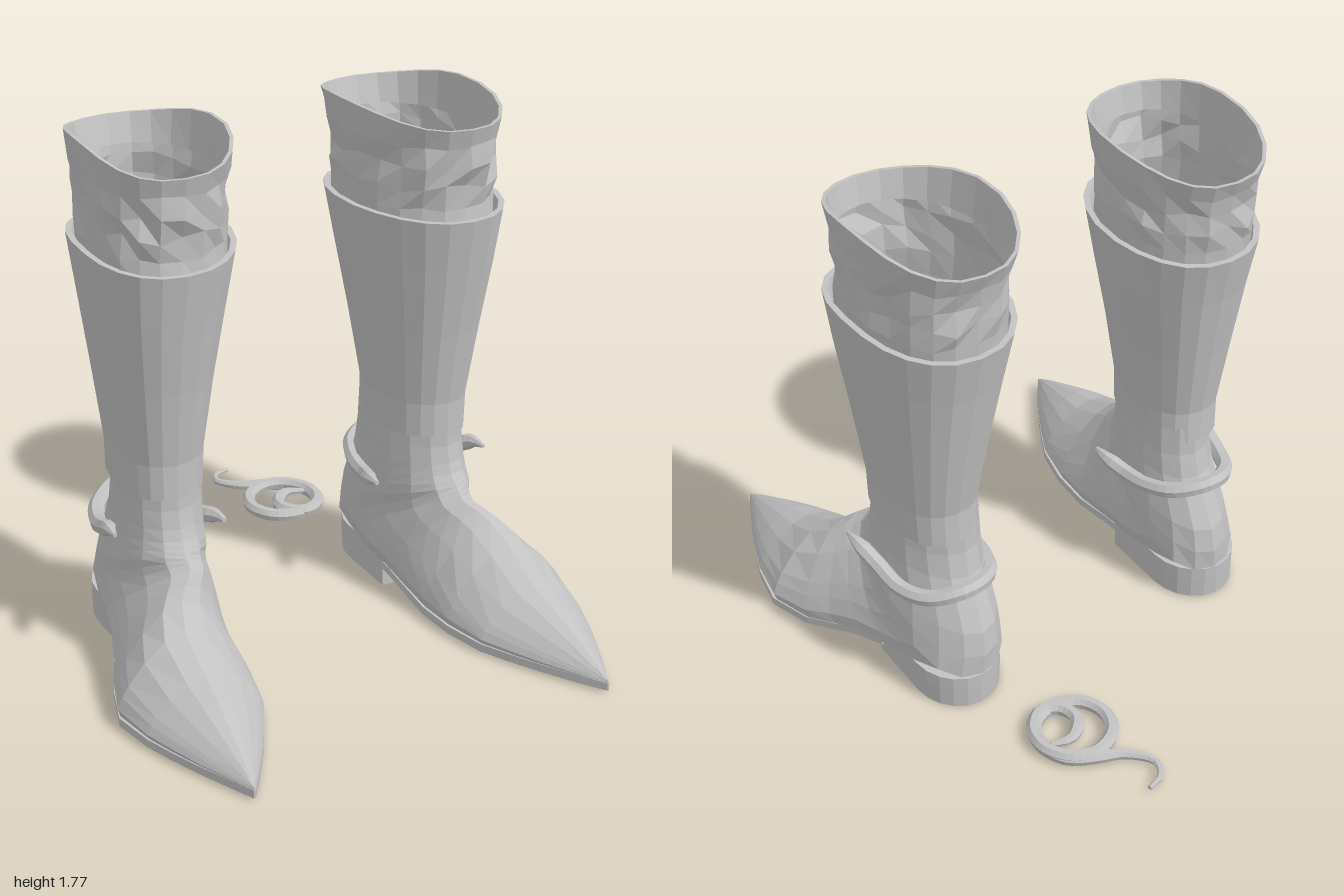
import * as THREE from 'three';

const leather = new THREE.MeshStandardMaterial({ color: 0xc2c2c2, side: THREE.DoubleSide });
leather.name = 'grey leather';

// Joins closed rings of [x, y, z] points into a faceted skin; s = -1 mirrors it in x.
function loft(name, rings, s = 1, capStart = false, capEnd = false) {
  const n = rings[0].length, pos = [], idx = [];
  const tri = (a, b, c) => (s > 0 ? idx.push(a, b, c) : idx.push(a, c, b));
  rings.forEach(r => r.forEach(p => pos.push(p[0] * s, p[1], p[2])));
  for (let i = 0; i < rings.length - 1; i++) {
    for (let j = 0; j < n; j++) {
      const a = i * n + j, b = i * n + (j + 1) % n;
      tri(a, b, b + n);
      tri(a, b + n, a + n);
    }
  }
  const cap = (ring, start, end) => {
    const c = pos.length / 3;
    const mid = [0, 1, 2].map(k => ring.reduce((t, p) => t + p[k], 0) / n);
    pos.push(mid[0] * s, mid[1], mid[2]);
    for (let j = 0; j < n; j++) {
      const a = start + j, b = start + (j + 1) % n;
      if (end) tri(c, a, b); else tri(c, b, a);
    }
  };
  if (capStart) cap(rings[0], 0, false);
  if (capEnd) cap(rings[rings.length - 1], (rings.length - 1) * n, true);
  const indexed = new THREE.BufferGeometry();
  indexed.setAttribute('position', new THREE.Float32BufferAttribute(pos, 3));
  indexed.setIndex(idx);
  const g = indexed.toNonIndexed();
  g.computeVertexNormals();
  const mesh = new THREE.Mesh(g, leather);
  mesh.name = name;
  return mesh;
}

// Horizontal squarish oval whose front half leans outward; tweak(t) returns [radius scale, y offset].
function oval(y, xin, xout, zf, zb, skew = 0.03, tweak = () => [1, 0], n = 22) {
  const soft = v => Math.sign(v) * Math.abs(v) ** 0.9;
  return Array.from({ length: n }, (_, j) => {
    const t = (j / n) * Math.PI * 2, [k, dy] = tweak(t);
    return [
      (xin + xout) / 2 + k * ((xout - xin) / 2 * soft(Math.sin(t)) + skew * Math.max(0, Math.cos(t))),
      y + dy,
      (zf + zb) / 2 + k * (zf - zb) / 2 * soft(Math.cos(t)),
    ];
  });
}

// Round cord along a curve, with a radius that varies along its length
function cord(name, points, radius, steps, s = 1) {
  const curve = new THREE.CatmullRomCurve3(points.map(p => new THREE.Vector3(...p)));
  const { normals, binormals } = curve.computeFrenetFrames(steps);
  const rings = [];
  for (let i = 0; i <= steps; i++) {
    const c = curve.getPointAt(i / steps), r = radius(i / steps);
    rings.push(Array.from({ length: 7 }, (_, j) => {
      const a = (j / 7) * Math.PI * 2;
      return c.clone().addScaledVector(normals[i], r * Math.cos(a))
        .addScaledVector(binormals[i], r * Math.sin(a)).toArray();
    }));
  }
  return loft(name, rings, s, true, true);
}

function seeded(seed) {
  return () => (seed = (seed * 16807) % 2147483647) / 2147483647 - 0.5;
}

// Foot section halves from sole to instep: flat-bottomed dome, morphing from an ellipse
const dome = [[0, 0], [0.55, 0], [0.96, 0], [1, 0.12], [0.93, 0.28], [0.84, 0.42], [0.6, 0.7], [0.3, 0.92], [0, 1]];
function footRing([zTop, yTop, zLow, yLow, xin, xout, f]) {
  const side = dome.map(([u, v], i) => {
    const a = (i / 8) * Math.PI;
    return [u * f + Math.sin(a) * (1 - f), v * f + (1 - Math.cos(a)) / 2 * (1 - f)];
  });
  const around = [...side, ...side.slice(1, 8).reverse().map(([u, v]) => [-u, v])];
  return around.map(([u, v]) => [
    (xin + xout) / 2 + u * (xout - xin) / 2 + 0.02 * (1 - f) * (2 * v - 1),
    yLow + v * (yTop - yLow),
    zLow + v * (zTop - zLow),
  ]);
}

function boot(name, s) {
  const g = new THREE.Group();
  g.name = name;

  // Shaft, with the rim turned inward
  const wave = t => [1, 0.015 * Math.sin(t) ** 2];
  g.add(loft('shaft', [
    oval(0.62, 0.337, 0.628, 0.2, -0.235, 0.02),
    oval(0.74, 0.333, 0.632, 0.2, -0.233, 0.02),
    oval(1.0, 0.29, 0.663, 0.24, -0.28, 0.03),
    oval(1.25, 0.243, 0.695, 0.285, -0.328, 0.04),
    oval(1.425, 0.212, 0.718, 0.318, -0.368, 0.04, wave),
    oval(1.425, 0.232, 0.698, 0.298, -0.348, 0.04, wave),
  ], s));

  // Crumpled cuff rising out of the shaft
  const rnd = seeded(77);
  const crumple = amount => () => [1 + rnd() * amount, rnd() * amount * 0.35];
  const peaks = t => [1, 0.05 * Math.abs(Math.sin(t)) ** 3];
  g.add(loft('cuff', [
    oval(1.36, 0.24, 0.685, 0.28, -0.335, 0.04),
    oval(1.46, 0.235, 0.69, 0.27, -0.345, 0.04, crumple(0.05)),
    oval(1.53, 0.235, 0.688, 0.275, -0.345, 0.04, crumple(0.1)),
    oval(1.6, 0.235, 0.688, 0.285, -0.35, 0.04, crumple(0.1)),
    oval(1.67, 0.228, 0.69, 0.29, -0.362, 0.04, crumple(0.05)),
    oval(1.73, 0.214, 0.702, 0.308, -0.392, 0.04, peaks),
    oval(1.73, 0.226, 0.69, 0.296, -0.38, 0.04, peaks),
    oval(1.64, 0.246, 0.675, 0.272, -0.345, 0.04),
  ], s));

  // Ankle, heel counter and foot in one sweep, the sections turning from level to upright.
  // Each: instep z, y; heel or sole z, y; inner x, outer x; flatness of the bottom
  g.add(loft('foot', [
    [0.197, 0.68, -0.23, 0.68, 0.34, 0.625, 0],
    [0.202, 0.58, -0.236, 0.57, 0.337, 0.628, 0],
    [0.215, 0.52, -0.257, 0.48, 0.335, 0.632, 0],
    [0.23, 0.485, -0.3, 0.39, 0.332, 0.638, 0],
    [0.245, 0.465, -0.342, 0.3, 0.328, 0.645, 0],
    [0.258, 0.45, -0.357, 0.21, 0.325, 0.655, 0.05],
    [0.27, 0.438, -0.353, 0.125, 0.328, 0.66, 0.2],
    [0.283, 0.427, -0.22, 0.115, 0.328, 0.67, 0.5],
    [0.298, 0.414, -0.07, 0.108, 0.325, 0.685, 0.75],
    [0.315, 0.4, 0.07, 0.1, 0.335, 0.71, 0.9],
    [0.335, 0.383, 0.19, 0.07, 0.35, 0.745, 1],
    [0.37, 0.35, 0.29, 0.04, 0.362, 0.79, 1],
    [0.45, 0.29, 0.44, 0.04, 0.37, 0.838, 1],
    [0.6, 0.21, 0.6, 0.04, 0.405, 0.81, 1],
    [0.7, 0.178, 0.7, 0.04, 0.455, 0.775, 1],
    [0.8, 0.14, 0.8, 0.04, 0.51, 0.735, 1],
    [0.92, 0.09, 0.92, 0.04, 0.584, 0.68, 1],
    [0.995, 0.05, 0.995, 0.04, 0.637, 0.643, 1],
  ].map(footRing), s, false, true));

  // Pointed sole, arched up to meet the heel: z, inner x, outer x, bottom y
  g.add(loft('sole', [
    [0.0, 0.345, 0.66, 0.08], [0.1, 0.345, 0.7, 0.07], [0.19, 0.352, 0.74, 0.045],
    [0.3, 0.362, 0.79, 0.015], [0.45, 0.37, 0.838, 0.015], [0.6, 0.405, 0.81, 0.015],
    [0.7, 0.455, 0.775, 0.015], [0.8, 0.51, 0.735, 0.015], [0.92, 0.584, 0.68, 0.015],
    [0.998, 0.637, 0.643, 0.015],
  ].map(([z, a, b, low]) => [[b, low, z], [b, low + 0.028, z], [a, low + 0.028, z], [a, low, z]]), s, true, true));

  // Heel block: straight front, rounded back
  const heelRing = (y, grow) => {
    const ring = [[0.345, y, 0.055], [0.635, y, 0.055]];
    for (let i = 0; i <= 10; i++) {
      const t = Math.PI * (0.5 + i / 10);
      ring.push([0.49 + (0.145 + grow) * Math.sin(t), y, -0.19 + (0.165 + grow) * Math.cos(t)]);
    }
    return ring;
  };
  g.add(loft('heel', [heelRing(0.01, 0), heelRing(0.09, 0.002), heelRing(0.135, 0.002)], s, true, true));

  // Spur strap curling round the back of the ankle
  g.add(cord('spurStrap', [
    [0.695, 0.505, 0.13], [0.69, 0.5, 0.07], [0.665, 0.455, -0.02], [0.65, 0.428, -0.12],
    [0.6, 0.435, -0.23], [0.49, 0.465, -0.293], [0.38, 0.445, -0.24], [0.33, 0.425, -0.13],
    [0.315, 0.42, -0.03], [0.292, 0.44, 0.05], [0.29, 0.445, 0.1],
  ], t => 0.028 * Math.min(1, 0.25 + 9 * t, 0.3 + 9 * (1 - t)), 36, s));
  return g;
}

export function createModel() {
  const model = new THREE.Group();
  model.name = 'ridingBoots';
  model.add(boot('leftBoot', 1), boot('rightBoot', -1));

  // Coiled cord lying on the ground behind the left boot
  model.add(cord('coiledCord', [
    [0.42, 0.036, -0.67], [0.35, 0.038, -0.685], [0.285, 0.038, -0.62], [0.3, 0.037, -0.55],
    [0.36, 0.036, -0.525], [0.43, 0.036, -0.58], [0.445, 0.036, -0.67], [0.39, 0.036, -0.755],
    [0.31, 0.036, -0.778], [0.22, 0.035, -0.73], [0.19, 0.034, -0.64], [0.23, 0.033, -0.555],
    [0.32, 0.032, -0.526], [0.41, 0.031, -0.56], [0.445, 0.031, -0.64], [0.41, 0.03, -0.74],
    [0.33, 0.03, -0.79], [0.24, 0.028, -0.83], [0.175, 0.026, -0.91], [0.2, 0.023, -0.97], [0.255, 0.02, -0.99],
  ], t => 0.024 * Math.min(1, 0.35 + 10 * t, 0.3 + 3.5 * (1 - t)), 72));
  return model;
}
